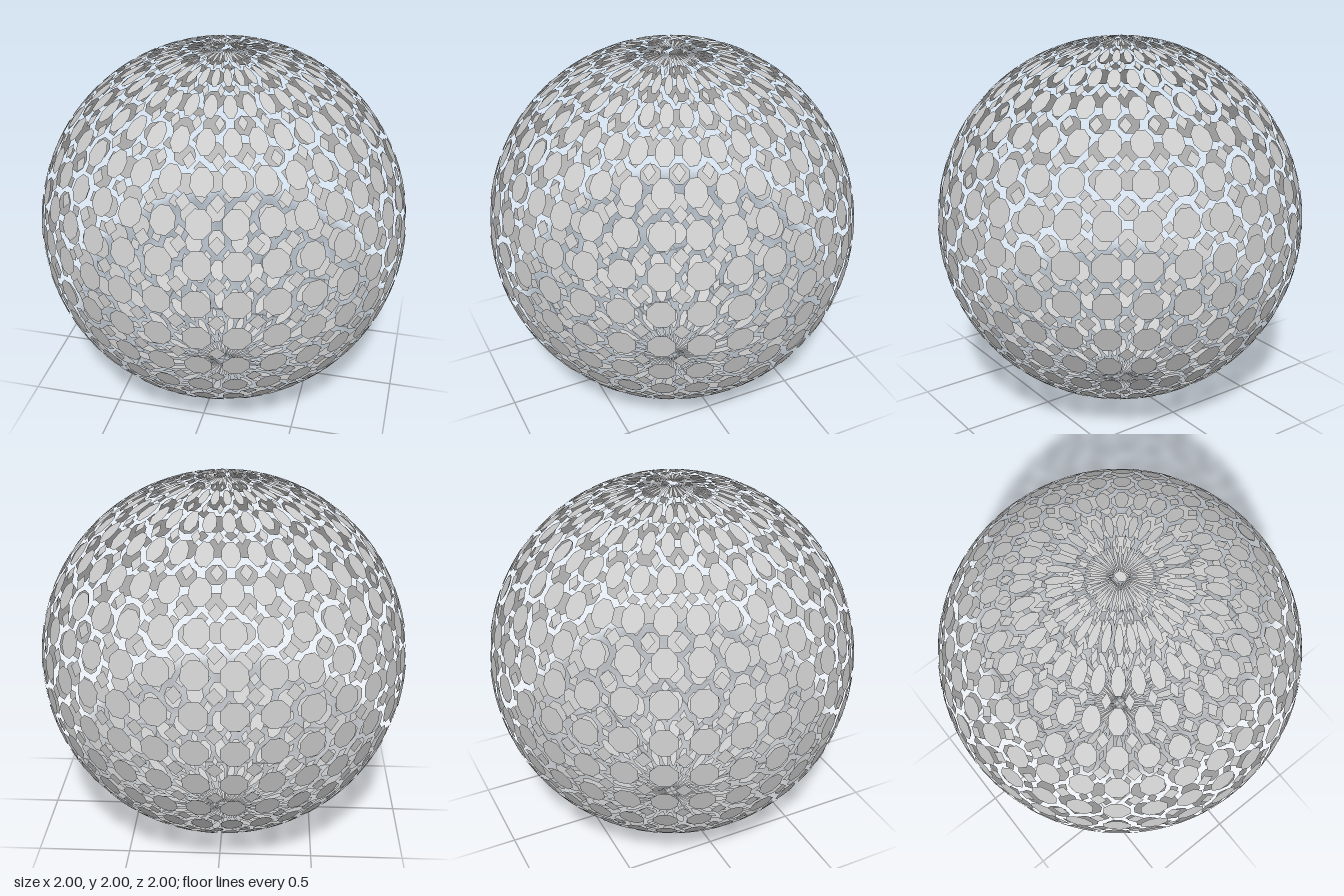
import * as THREE from 'three';

const SEGMENTS = 32, ROWS = 16;
const STEP = Math.PI / ROWS; // grid cell angle, the same in both directions
const HALF = STEP / 2;

// Outlines in half-cell units: [longitude, latitude], counter-clockwise from outside
const A = 0.72, B = 0.28;
const OCTAGON = [[A, -B], [A, B], [B, A], [-B, A], [-A, B], [-A, -B], [-B, -A], [B, -A]];
const D = 0.455;
const DIAMOND = [[D, 0], [0, D], [-D, 0], [0, -D]];

function onSphere(lon, lat) {
  return new THREE.Vector3(
    Math.cos(lat) * Math.sin(lon), Math.sin(lat), Math.cos(lat) * Math.cos(lon));
}

// One flat tile per grid position, separated by open gaps
function tileGeometry(outline, lonOffset, latitudes) {
  const positions = [], normals = [];
  for (const lat of latitudes) {
    for (let i = 0; i < SEGMENTS; i++) {
      const lon = i * STEP + lonOffset;
      const normal = onSphere(lon, lat);
      const corners = outline.map(([u, v]) => onSphere(lon + u * HALF, lat + v * HALF));
      for (let k = 1; k < corners.length - 1; k++) {
        for (const p of [corners[0], corners[k], corners[k + 1]]) {
          positions.push(p.x, p.y + 1, p.z);
          normals.push(normal.x, normal.y, normal.z);
        }
      }
    }
  }
  const geometry = new THREE.BufferGeometry();
  geometry.setAttribute('position', new THREE.Float32BufferAttribute(positions, 3));
  geometry.setAttribute('normal', new THREE.Float32BufferAttribute(normals, 3));
  return geometry;
}

export function createModel() {
  const group = new THREE.Group();
  group.name = 'tiledSphere';
  const material = new THREE.MeshStandardMaterial({
    color: 0xcccccc, flatShading: false, side: THREE.DoubleSide });

  // Large octagons fill the cell centres, small diamonds sit on the grid crossings
  const cellLats = Array.from({ length: ROWS }, (_, j) => (j + 0.5) * STEP - Math.PI / 2);
  const crossingLats = Array.from({ length: ROWS - 1 }, (_, j) => (j + 1) * STEP - Math.PI / 2);

  const octagons = new THREE.Mesh(tileGeometry(OCTAGON, HALF, cellLats), material);
  octagons.name = 'octagonTiles';
  const diamonds = new THREE.Mesh(tileGeometry(DIAMOND, 0, crossingLats), material);
  diamonds.name = 'diamondTiles';
  group.add(octagons, diamonds);
  return group;
}
